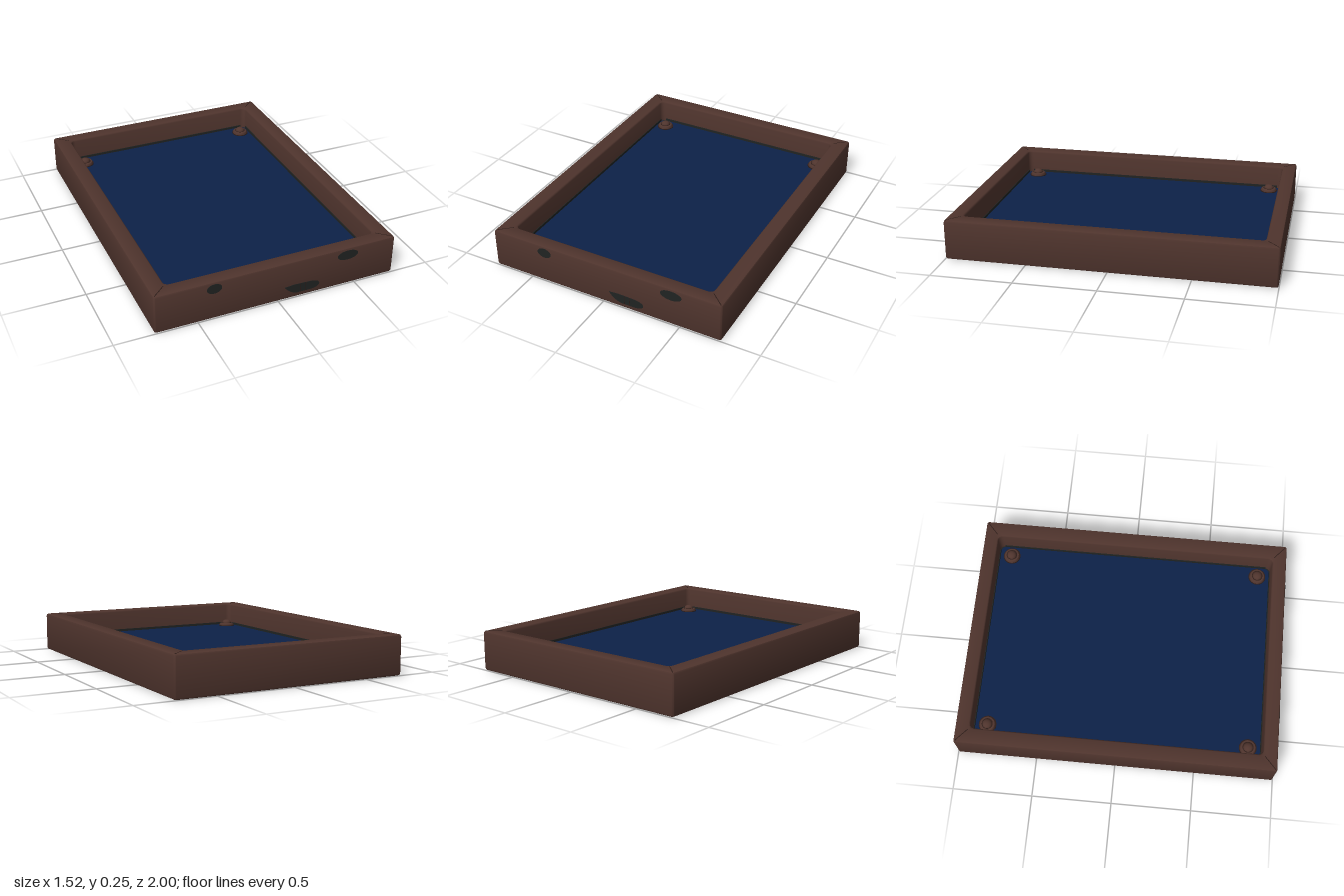
import * as THREE from 'three';
import { toCreasedNormals } from 'three/addons/utils/BufferGeometryUtils.js';

const HX = 0.76, HZ = 0.998, WX = 0.1, WZ = 0.09, TOP = 0.25, FLOOR = 0.1;

const mat = (name, color) => Object.assign(new THREE.MeshStandardMaterial({ color }), { name });

// Points of a rounded rectangle in the xz plane, four rounded corners in turn
function ring(hx, hz, r, y, steps = 4) {
  const pts = [];
  [[1, 1], [-1, 1], [-1, -1], [1, -1]].forEach(([sx, sz], c) => {
    for (let i = 0; i <= steps; i++) {
      const a = (c + i / steps) * Math.PI / 2;
      pts.push(sx * (hx - r) + Math.cos(a) * r, y, sz * (hz - r) + Math.sin(a) * r);
    }
  });
  return pts;
}

// Frame skin: rounded rings joined along the rail's cross-section
function frameGeometry() {
  // share of rail width, height
  const profile = [[1, 0], [0.12, 0], [0.035, 0.004], [0, 0.014], [0, TOP - 0.014], [0.035, TOP - 0.004],
    [0.12, TOP], [0.9, TOP], [0.97, TOP - 0.004], [1, TOP - 0.012], [1, 0.06]];
  const pos = [], index = [], n = 20;
  profile.forEach(([t, y], j) => {
    pos.push(...ring(HX - t * WX, HZ - t * WZ, 0.012 + 0.018 * t, y));
    if (j === profile.length - 1) return;
    for (let i = 0; i < n; i++) {
      const a = j * n + i, b = j * n + (i + 1) % n;
      index.push(a, a + n, b, b, a + n, b + n);
    }
  });
  const g = new THREE.BufferGeometry();
  g.setAttribute('position', new THREE.Float32BufferAttribute(pos, 3));
  g.setIndex(index);
  return toCreasedNormals(g, 0.7);
}

// Flat rounded sheet lying at a given height
function sheetGeometry(hx, hz, r, depth) {
  const p = ring(hx, hz, r, 0), pts = [];
  for (let i = 0; i < p.length; i += 3) pts.push(new THREE.Vector2(p[i], p[i + 2]));
  return new THREE.ExtrudeGeometry(new THREE.Shape(pts), { depth, bevelEnabled: false }).rotateX(-Math.PI / 2);
}

export function createModel() {
  const model = new THREE.Group();
  model.name = 'tray';
  const wood = mat('brown wood', 0x4f342d);
  const cloth = mat('navy cloth', 0x0d2148);
  const dark = mat('dark recess', 0x202322);
  const seam = mat('seam brown', 0x2c1c18);
  const add = (name, geo, material, x = 0, y = 0, z = 0) => {
    const m = new THREE.Mesh(geo, material);
    m.name = name;
    m.position.set(x, y, z);
    model.add(m);
    return m;
  };

  add('frame', frameGeometry(), wood);

  // Base, shadow gap and cloth surface
  const ix = HX - WX, iz = HZ - WZ;
  add('base', new THREE.BoxGeometry(2 * ix, 0.09, 2 * iz), wood, 0, 0.045, 0);
  add('gap', sheetGeometry(ix, iz, 0.03, 0.006), dark, 0, FLOOR - 0.009, 0);
  add('cloth', sheetGeometry(ix - 0.006, iz - 0.006, 0.03, 0.008), cloth, 0, FLOOR - 0.008, 0);
  for (const s of [-1, 1]) {
    add('sideLiner', new THREE.BoxGeometry(0.006, 0.022, 2 * iz - 0.06), dark, s * (ix - 0.002), FLOOR + 0.004, 0);
    add('endLiner', new THREE.BoxGeometry(2 * ix - 0.06, 0.022, 0.006), dark, 0, FLOOR + 0.004, s * (iz - 0.002));
  }

  // Corner studs with a dark groove, and mitre seams on the rails
  const washer = new THREE.LatheGeometry([[0.052, 0], [0.052, 0.01], [0.046, 0.018], [0.034, 0.02], [0.032, 0.012], [0, 0.012]]
    .map(([x, y]) => new THREE.Vector2(x, y)), 28);
  const groove = new THREE.CylinderGeometry(0.035, 0.035, 0.005, 28);
  const dome = new THREE.SphereGeometry(0.031, 24, 8, 0, Math.PI * 2, 0, Math.PI / 2).scale(1, 0.75, 1);
  const rim = new THREE.CylinderGeometry(0.056, 0.056, 0.004, 28);
  const mitre = new THREE.BoxGeometry(Math.hypot(WX, WZ) * 0.78, 0.003, 0.005);
  for (const sx of [-1, 1]) for (const sz of [-1, 1]) {
    const x = sx * 0.59, z = sz * 0.825;
    add('studRim', rim, seam, x, FLOOR + 0.002, z);
    add('studWasher', toCreasedNormals(washer, 0.7), wood, x, FLOOR, z);
    add('studGroove', groove, seam, x, FLOOR + 0.0185, z);
    add('studDome', dome, wood, x, FLOOR + 0.02, z);
    add('mitreSeam', mitre, seam, sx * (HX - WX / 2), TOP - 0.001, sz * (HZ - WZ / 2))
      .rotation.y = -sx * sz * Math.atan2(WZ, WX);
  }

  // Dark openings on the front rail
  const plate = (shape) => new THREE.ExtrudeGeometry(shape, { depth: 0.004, bevelEnabled: false, curveSegments: 20 });
  for (const [x, rx] of [[-0.4, 0.046], [0.445, 0.067]]) {
    add('frontOpening', plate(new THREE.Shape().absellipse(0, 0, rx, 0.031, 0, Math.PI * 2)), dark, x, 0.205, HZ - 0.002);
  }
  const low = new THREE.Shape();
  low.moveTo(0.04, 0.085);
  low.quadraticCurveTo(0.07, 0.04, 0.12, 0.03);
  low.lineTo(0.21, 0.03);
  low.bezierCurveTo(0.285, 0.032, 0.285, 0.085, 0.2, 0.087);
  low.lineTo(0.1, 0.09);
  low.closePath();
  add('lowerOpening', plate(low), dark, 0, 0, HZ - 0.002);
  for (const x of [0.142, 0.176]) {
    add('openingRib', new THREE.BoxGeometry(0.004, 0.054, 0.005), seam, x, 0.059, HZ);
  }
  return model;
}
